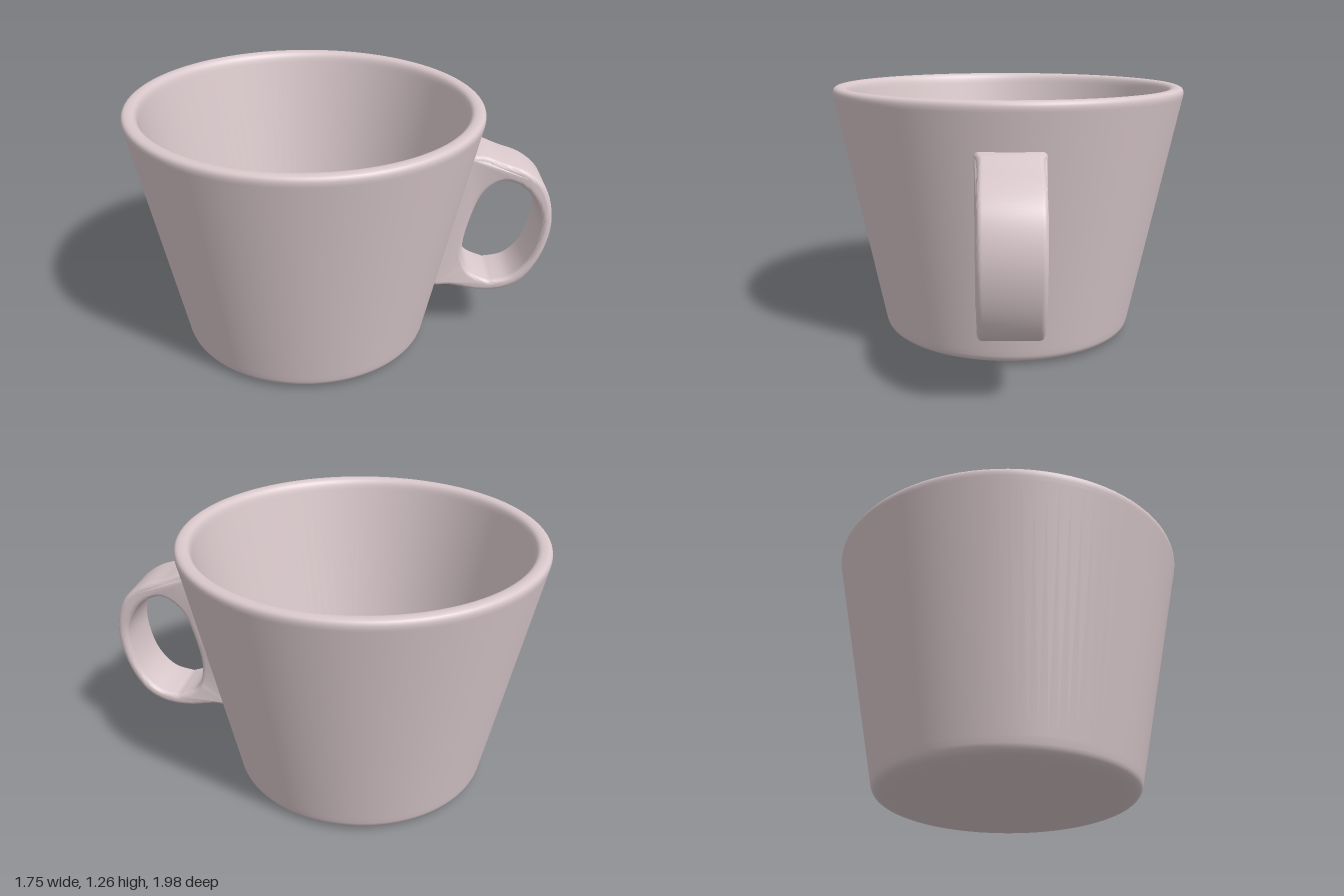
import * as THREE from 'three';
import { toCreasedNormals } from 'three/addons/utils/BufferGeometryUtils.js';

const HANDLE_ANGLE = -0.977; // handle points to the front left
const HANDLE_WIDTH = 0.28;
const BEVEL = 0.024;

// Outer radius of the tapered wall at a given height
const wallRadius = (y) => 0.64 + 0.2 * (y - 0.05);

const v2 = (list) => list.map(([x, y]) => new THREE.Vector2(x, y));

// Bowl: one closed-wall profile, from the underside over the rim to the inner floor
function cupGeometry() {
  const path = new THREE.Path();
  path.moveTo(0, 0.008);
  path.lineTo(0.4, 0.008);
  path.lineTo(0.5, 0.009);
  path.bezierCurveTo(0.6, 0.012, 0.632, 0.02, 0.642, 0.06);
  path.lineTo(0.648, 0.09);
  path.lineTo(wallRadius(1.21), 1.21);
  path.bezierCurveTo(0.885, 1.255, 0.875, 1.272, 0.845, 1.272);
  path.bezierCurveTo(0.815, 1.272, 0.804, 1.262, 0.796, 1.22);
  path.lineTo(0.573, 0.14);
  path.bezierCurveTo(0.565, 0.1, 0.55, 0.085, 0.51, 0.08);
  path.lineTo(0.46, 0.078);
  path.lineTo(0, 0.078);
  return new THREE.LatheGeometry(path.getPoints(8), 96);
}

// Handle: a rounded loop with an oval hole, its inner edge sunk into the wall
function handleGeometry() {
  const outer = new THREE.Shape();
  outer.moveTo(wallRadius(0.32) - 0.05, 0.32);
  outer.splineThru(v2([
    [0.77, 0.31], [0.9, 0.288], [1.03, 0.298], [1.14, 0.365], [1.22, 0.52], [1.245, 0.7],
    [1.2, 0.87], [1.1, 0.965], [0.97, 1.015], [0.88, 1.05], [wallRadius(1.06) - 0.05, 1.06],
  ]));
  outer.closePath();

  const hole = new THREE.Path();
  const points = new THREE.SplineCurve(v2([
    [0.96, 0.345], [0.85, 0.4], [0.81, 0.53], [0.835, 0.7], [0.89, 0.85], [0.99, 0.918],
    [1.1, 0.87], [1.175, 0.76], [1.192, 0.64], [1.155, 0.48], [1.07, 0.375], [0.96, 0.345],
  ])).getPoints(60);
  hole.setFromPoints(points);
  outer.holes.push(hole);

  const geometry = new THREE.ExtrudeGeometry(outer, {
    depth: HANDLE_WIDTH - 2 * BEVEL,
    curveSegments: 6,
    bevelEnabled: true,
    bevelThickness: BEVEL,
    bevelSize: BEVEL,
    bevelOffset: -BEVEL,
    bevelSegments: 5,
  });
  geometry.translate(0, 0, -HANDLE_WIDTH / 2 + BEVEL);

  // Flare the sides slightly where the loop meets the wall
  const pos = geometry.attributes.position;
  for (let i = 0; i < pos.count; i++) {
    const gap = pos.getX(i) - wallRadius(pos.getY(i));
    const flare = Math.min(1, Math.max(0, 1 - gap / 0.08));
    pos.setZ(i, pos.getZ(i) * (1 + 0.12 * flare * flare));
  }
  return toCreasedNormals(geometry, 0.8);
}

export function createModel() {
  const group = new THREE.Group();
  group.name = 'mug';
  const material = new THREE.MeshStandardMaterial({ color: 0xd9c8cb });

  const cup = new THREE.Mesh(cupGeometry(), material);
  cup.name = 'cup';

  const handle = new THREE.Mesh(handleGeometry(), material);
  handle.name = 'handle';
  handle.rotation.y = HANDLE_ANGLE;

  group.add(cup, handle);
  for (const part of group.children) part.position.z = -0.12;
  return group;
}
